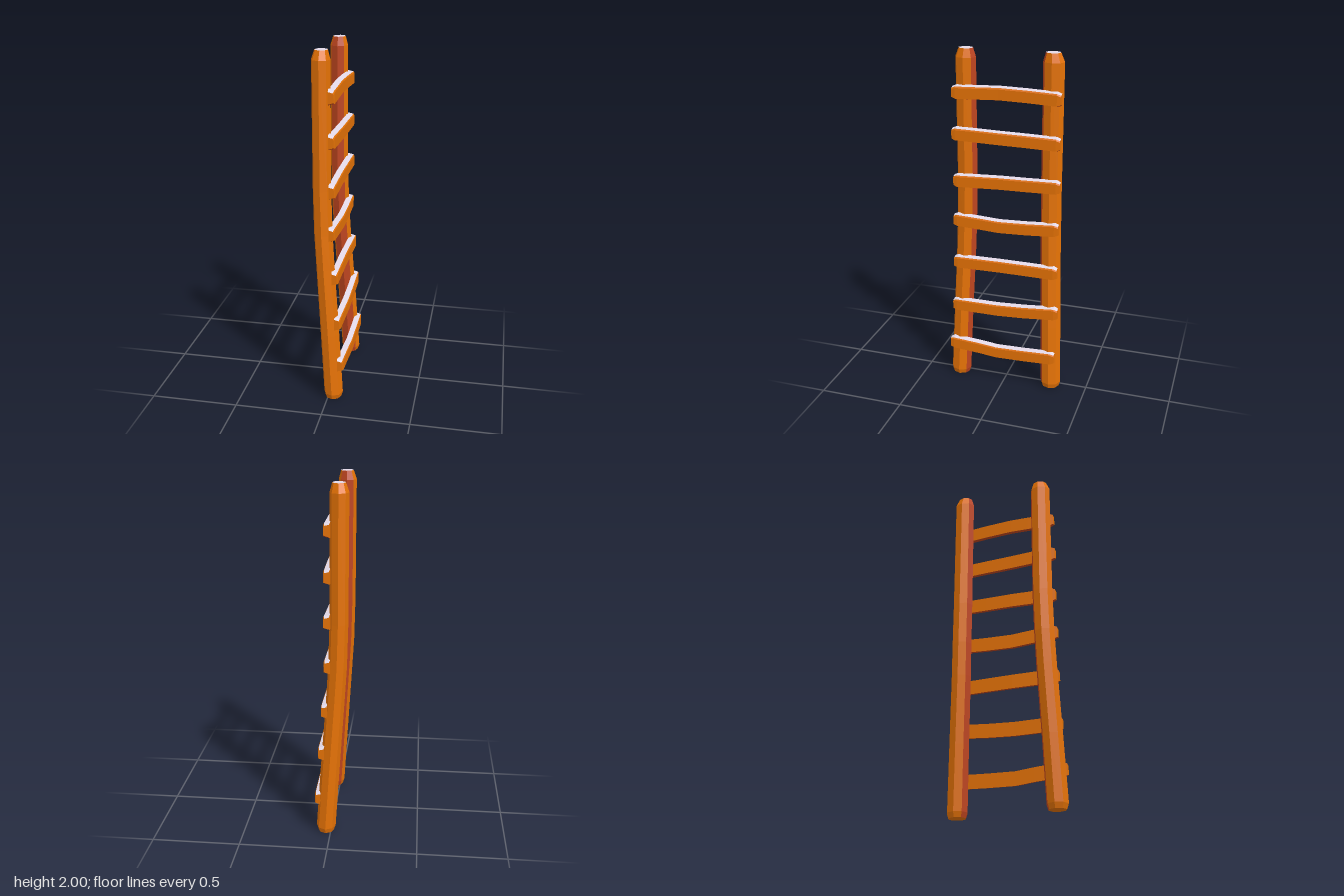
import * as THREE from 'three';

const mat = (name, color) => Object.assign(new THREE.MeshStandardMaterial({ color, flatShading: true }), { name });

// Skin a series of rings; sideColors gives a material index for each side strip
function loft(rings, sideColors, startColor, endColor) {
  const faces = [[], [], []];
  const n = rings[0].length;
  const tri = (c, ...pts) => pts.forEach((p) => faces[c].push(...p));
  for (let i = 0; i < rings.length - 1; i++) {
    for (let j = 0; j < n; j++) {
      const k = (j + 1) % n;
      const a = rings[i][j], b = rings[i][k], c = rings[i + 1][k], d = rings[i + 1][j];
      tri(sideColors[j], a, d, c);
      tri(sideColors[j], a, c, b);
    }
  }
  const first = rings[0], last = rings[rings.length - 1];
  for (let j = 1; j < n - 1; j++) {
    tri(startColor, first[0], first[j], first[j + 1]);
    tri(endColor, last[0], last[j + 1], last[j]);
  }
  const geo = new THREE.BufferGeometry();
  geo.setAttribute('position', new THREE.Float32BufferAttribute(faces.flat(), 3));
  let start = 0;
  faces.forEach((f, m) => {
    if (f.length) geo.addGroup(start, f.length / 3, m);
    start += f.length / 3;
  });
  geo.computeVertexNormals();
  return geo;
}

export function createModel() {
  const ladder = new THREE.Group();
  ladder.name = 'ladder';
  const WOOD = 0, RED = 1, PALE = 2;
  const materials = [mat('orangeWood', 0xe57205), mat('redWood', 0xbe451f), mat('paleTop', 0xe8deed)];

  const add = (name, geo) => {
    const mesh = new THREE.Mesh(geo, materials);
    mesh.name = name;
    ladder.add(mesh);
  };

  // Eight-sided posts, splayed towards the foot: y, x, z, radius in x, radius in z
  const path = [
    [0, 0.028, 0.285, 0.046, 0.051],
    [0.03, 0.028, 0.285, 0.055, 0.061],
    [0.4, 0.005, 0.273, 0.054, 0.06],
    [0.8, -0.022, 0.258, 0.052, 0.06],
    [1.0, -0.034, 0.253, 0.052, 0.06],
    [1.25, -0.041, 0.249, 0.051, 0.06],
    [1.95, -0.043, 0.249, 0.051, 0.06],
    [2, -0.041, 0.246, 0.036, 0.042],
  ];
  for (const side of [1, -1]) {
    const rings = path.map(([y, x, z, rx, rz]) =>
      Array.from({ length: 8 }, (_, j) => {
        const a = (j * Math.PI) / 4;
        return [x + rx * Math.cos(a), y, side * z + rz * Math.sin(a)];
      }));
    // The two faces towards the other post are red
    const inner = side > 0 ? [5, 6] : [1, 2];
    const colors = rings[0].map((_, j) => (inner.includes(j) ? RED : WOOD));
    add(side > 0 ? 'frontPost' : 'backPost', loft(rings, colors, WOOD, PALE));
  }

  // Crooked rungs: x, y at back end, middle and front end, z at both ends, bow in x
  const rungs = [
    [0.02, 1.76, 1.77, 1.762, -0.31, 0.31, -0.004],
    [0.021, 1.512, 1.52, 1.525, -0.31, 0.315, 0.003],
    [0.022, 1.265, 1.258, 1.25, -0.315, 0.31, -0.003],
    [0.021, 1.01, 0.995, 1.008, -0.31, 0.315, 0.003],
    [0.037, 0.748, 0.749, 0.748, -0.312, 0.312, -0.003],
    [0.053, 0.497, 0.474, 0.473, -0.325, 0.318, 0.003],
    [0.073, 0.208, 0.198, 0.22, -0.315, 0.333, 0.002],
  ];
  rungs.forEach(([x, yBack, yMid, yFront, z0, z1, bow], i) => {
    // z, y, bow amount, end taper
    const stations = [
      [z0, yBack, 0, 0.8], [z0 + 0.022, yBack, 0, 1],
      [-0.12, yBack * 0.35 + yMid * 0.65, 0.7, 1], [0.04, yMid, 1, 1], [0.15, (yMid + yFront) / 2, 0.6, 1],
      [z1 - 0.022, yFront, 0, 1], [z1, yFront, 0, 0.8],
    ];
    const rings = stations.map(([z, y, b, s]) => {
      const t = 0.018 * s, h = 0.041 * s, cx = x + bow * b;
      // Pale top with a narrow wooden edge in front of it
      return [
        [cx - t, y + h, z], [cx + t - 0.004, y + h - 0.006, z], [cx + t, y + h - 0.014, z],
        [cx + t, y - h + 0.009, z], [cx - t, y - h, z],
      ];
    });
    add('rung' + (i + 1), loft(rings, [PALE, WOOD, WOOD, RED, WOOD], WOOD, WOOD));
  });

  return ladder;
}
